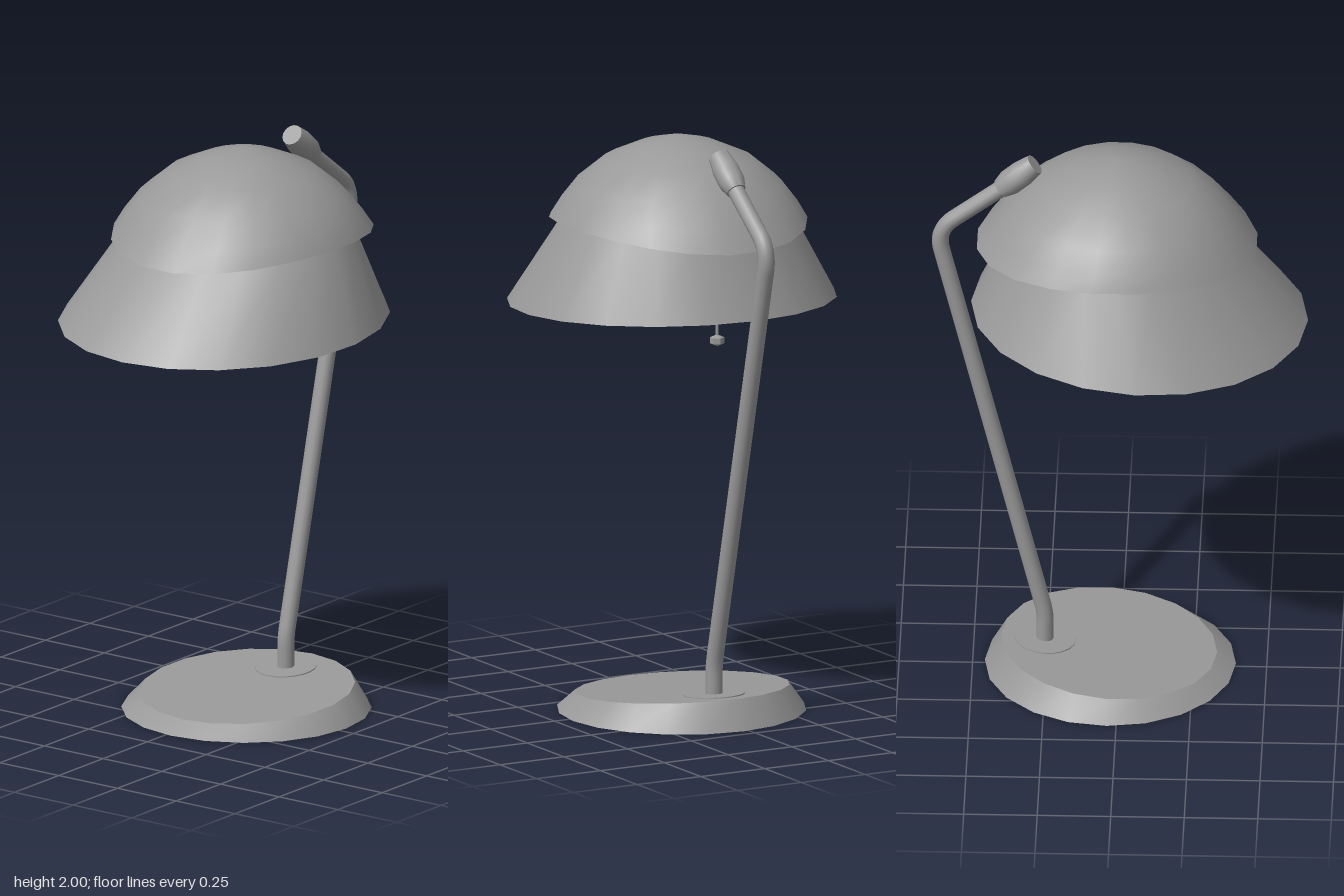
import * as THREE from 'three';
import { toCreasedNormals } from 'three/addons/utils/BufferGeometryUtils.js';

const SIDES = 20;
const material = new THREE.MeshStandardMaterial({ color: 0x999999, side: THREE.DoubleSide });

// Skin through elliptical rings: x, y, z centre, radii, tilt (rise towards +x), lift (rise at the z sides)
function loft(rings, phase = 0) {
  const pos = [], idx = [], row = SIDES + 1;
  rings.forEach(({ x, y, z, rx, rz, tilt = 0, lift = 0 }, r) => {
    for (let i = 0; i <= SIDES; i++) {
      const a = ((i % SIDES) + phase) / SIDES * Math.PI * 2, c = Math.cos(a), s = Math.sin(a);
      pos.push(x + rx * c, y + tilt * c + lift * s * s, z + rz * s);
      if (r && i < SIDES) {
        const p = (r - 1) * row + i, q = p + row;
        idx.push(p, q, p + 1);
        if (rx > 0) idx.push(p + 1, q, q + 1);
      }
    }
  });
  const g = new THREE.BufferGeometry();
  g.setAttribute('position', new THREE.Float32BufferAttribute(pos, 3));
  g.setIndex(idx);
  return toCreasedNormals(g, 0.48);
}

export function createModel() {
  const lamp = new THREE.Group();
  const add = (name, geometry, x = 0, y = 0, z = 0) => {
    const mesh = new THREE.Mesh(geometry, material);
    mesh.name = name;
    mesh.position.set(x, y, z);
    lamp.add(mesh);
    return mesh;
  };
  const Z = 0.02; // plane of the stem

  // Hollow wedge base with a sloping top
  add('base', loft([
    { x: 0.032, y: 0, z: Z, rx: 0.427, rz: 0.425 },
    { x: 0.036, y: 0.072, z: Z, rx: 0.367, rz: 0.367, tilt: 0.029 },
    { x: 0.036, y: 0.072, z: Z, rx: 0, rz: 0 },
  ]));
  const flange = add('stemFlange', toCreasedNormals(new THREE.CylinderGeometry(0.105, 0.105, 0.02, 20), 0.6), 0.255, 0.083, Z);
  flange.rotation.z = 0.079;

  // Bent stem: straight runs joined by rounded corners
  const v = (x, y) => new THREE.Vector3(x, y, Z);
  const path = new THREE.CurvePath();
  path.add(new THREE.LineCurve3(v(0.254, 0.07), v(0.254, 0.16)));
  path.add(new THREE.QuadraticBezierCurve3(v(0.254, 0.16), v(0.254, 0.195), v(0.263, 0.23)));
  path.add(new THREE.LineCurve3(v(0.263, 0.23), v(0.604, 1.62)));
  path.add(new THREE.QuadraticBezierCurve3(v(0.604, 1.62), v(0.627, 1.70), v(0.565, 1.748)));
  path.add(new THREE.LineCurve3(v(0.565, 1.748), v(0.38, 1.888)));
  add('stem', new THREE.TubeGeometry(path, 120, 0.029, 12, false));

  // Swivel head at the tip of the stem
  const headProfile = [[0, 0], [0.034, 0], [0.046, 0.04], [0.046, 0.095], [0.037, 0.152], [0, 0.152]]
    .map(([r, h]) => new THREE.Vector2(r, h));
  const head = add('swivelHead', toCreasedNormals(new THREE.LatheGeometry(headProfile, 14), 0.6), 0.405, 1.87, Z);
  head.rotation.z = Math.atan2(0.116, 0.098);

  // Lower flared shade: inner wall, rim and outer wall, open at the top
  add('lowerShade', loft([
    { x: 0.012, y: 1.755, z: 0.02, rx: 0.315, rz: 0.355, tilt: 0.01 },
    { x: -0.007, y: 1.685, z: 0.02, rx: 0.362, rz: 0.395, tilt: 0.012 },
    { x: -0.068, y: 1.408, z: 0, rx: 0.548, rz: 0.535, tilt: 0.0265 },
    { x: -0.068, y: 1.407, z: 0, rx: 0.573, rz: 0.56, tilt: 0.0275 },
    { x: -0.007, y: 1.685, z: 0.02, rx: 0.382, rz: 0.415, tilt: 0.012 },
    { x: 0.012, y: 1.755, z: 0.02, rx: 0.33, rz: 0.37, tilt: 0.01 },
  ]));

  // Upper domed shade with a wavy rim, a thin shell
  const dome = [ // y, rx, rz, lift
    [1.668, 0.481, 0.428, 0.046], [1.745, 0.425, 0.4, 0.02], [1.83, 0.356, 0.35, 0],
    [1.91, 0.258, 0.253, 0], [1.962, 0.137, 0.134, 0], [1.995, 0, 0, 0],
  ].map(([y, rx, rz, lift]) => ({ x: 0.009, y, z: Z, rx, rz, lift }));
  add('upperShade', loft(dome, 0.5));

  // Pull cord and its bead
  add('pullCord', new THREE.CylinderGeometry(0.006, 0.006, 0.47, 6), 0.275, 1.565, Z);
  add('pullBead', toCreasedNormals(new THREE.SphereGeometry(0.028, 6, 3).scale(1, 0.75, 1), 0.3), 0.275, 1.326, Z);

  return lamp;
}
